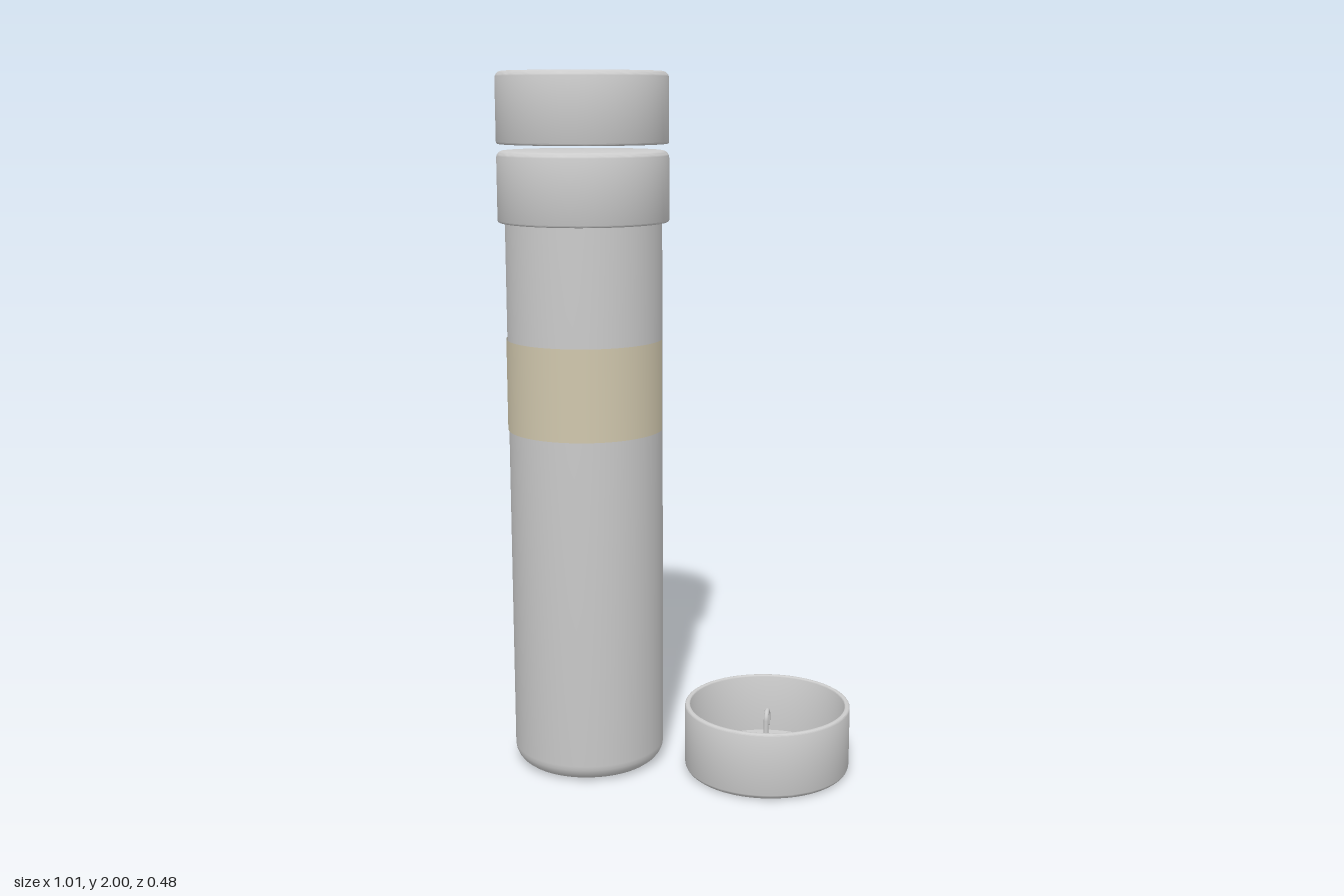
import * as THREE from 'three';
import { toCreasedNormals } from 'three/addons/utils/BufferGeometryUtils.js';

const grey = new THREE.MeshStandardMaterial({ color: 0xcccccc });
grey.name = 'light grey';
const tan = new THREE.MeshStandardMaterial({ color: 0xd0c7ad, side: THREE.DoubleSide });
tan.name = 'pale tan';

const CENTRE = 0.267;

// Outline spun around y: [radius, height, fillet] corners, rounded where a fillet is given
function lathe(corners) {
  const pts = [];
  corners.forEach(([r, y, fillet], i) => {
    const p = new THREE.Vector2(r, y);
    if (!fillet) return pts.push(p);
    const toward = ([a, b]) => new THREE.Vector2(a, b).sub(p).setLength(fillet).add(p);
    const a = toward(corners[i - 1]);
    const b = toward(corners[i + 1]);
    // quarter round between the two tangent points
    const c = a.clone().add(b).sub(p);
    for (let k = 0; k <= 6; k++) {
      const t = (k / 6) * Math.PI / 2;
      pts.push(c.clone()
        .addScaledVector(b.clone().sub(c), Math.sin(t))
        .addScaledVector(a.clone().sub(c), Math.cos(t)));
    }
  });
  return toCreasedNormals(new THREE.LatheGeometry(pts, 72), 0.6);
}

function mesh(name, geometry, material = grey) {
  const m = new THREE.Mesh(geometry, material);
  m.name = name;
  return m;
}

// Hollow cap, closed at y = 0, with a small hook standing on its inner floor
function makeCap(name) {
  const cap = new THREE.Group();
  cap.name = name;
  cap.add(mesh('capShell', lathe([
    [0, 0], [0.24, 0, 0.02], [0.24, 0.197, 0.006], [0.225, 0.197, 0.004], [0.225, 0.02], [0, 0.02],
  ])));
  const path = new THREE.CurvePath();
  const v = (y, z) => new THREE.Vector3(0, y, z);
  const arc = [];
  for (let i = 0; i <= 8; i++) {
    const t = (i / 8) * Math.PI;
    arc.push(v(0.15 + 0.022 * Math.sin(t), 0.022 * Math.cos(t)));
  }
  path.add(new THREE.LineCurve3(v(0.018, 0.022), v(0.15, 0.022)));
  path.add(new THREE.CatmullRomCurve3(arc));
  path.add(new THREE.LineCurve3(v(0.15, -0.022), v(0.125, -0.022)));
  cap.add(mesh('hook', new THREE.TubeGeometry(path, 48, 0.007, 10)));
  const tip = mesh('hookTip', new THREE.SphereGeometry(0.007, 10, 8));
  tip.position.set(0, 0.125, -0.022);
  cap.add(tip);
  return cap;
}

export function createModel() {
  const model = new THREE.Group();
  model.name = 'capsuleTube';

  // Tall hollow tube with a rounded foot
  const body = mesh('tube', lathe([
    [0, 0], [0.22, 0, 0.05], [0.22, 1.755], [0.205, 1.755], [0.205, 0.015, 0.04], [0, 0.015],
  ]));
  body.position.x = -CENTRE;
  model.add(body);

  // Label wrapped around the front half
  const label = mesh('label',
    new THREE.CylinderGeometry(0.223, 0.223, 0.26, 48, 1, true, -Math.PI / 2, Math.PI), tan);
  label.position.set(-CENTRE, 1.13, 0);
  model.add(label);

  // Two caps facing down: one fitted on the tube, one lifted above it
  [['fittedCap', 1.785], ['raisedCap', 2]].forEach(([name, top]) => {
    const cap = makeCap(name);
    cap.rotation.x = Math.PI;
    cap.position.set(-CENTRE, top, 0);
    model.add(cap);
  });

  // Loose cap lying open side up
  const loose = makeCap('looseCap');
  loose.position.x = CENTRE;
  model.add(loose);

  return model;
}
